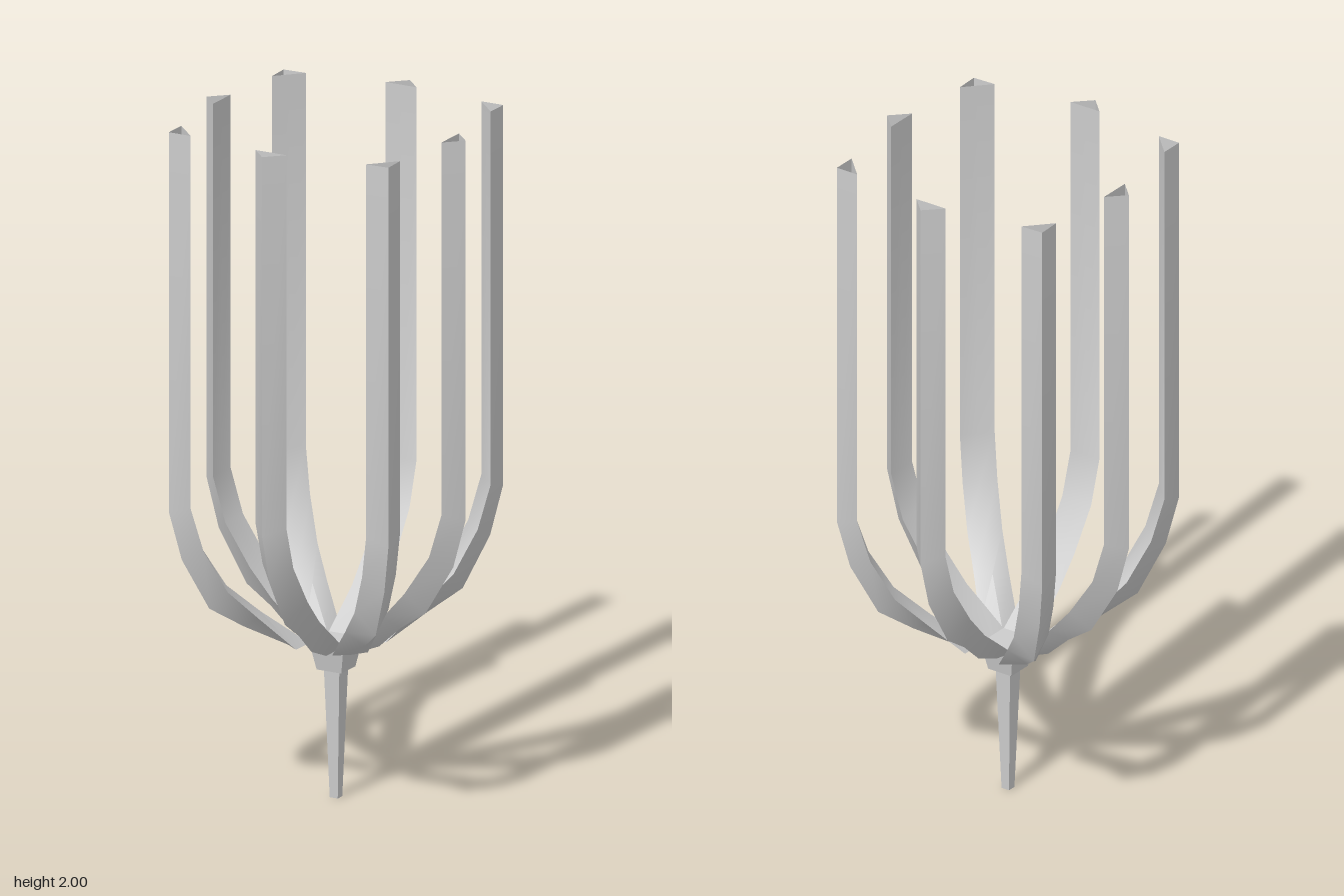
import * as THREE from 'three';
import { toCreasedNormals } from 'three/addons/utils/BufferGeometryUtils.js';

const material = new THREE.MeshStandardMaterial({ color: 0xcccccc, side: THREE.DoubleSide });

// Cross-sections from root to tip: [base r, base y, ridge r, ridge y, inner r, inner y, half width]
const straightArm = [
  [0.055, 0.465, 0.055, 0.43, 0.055, 0.465, 0.054],
  [0.12, 0.52, 0.14, 0.465, 0.12, 0.515, 0.052],
  [0.18, 0.57, 0.21, 0.53, 0.18, 0.57, 0.05],
  [0.25, 0.65, 0.29, 0.585, 0.25, 0.65, 0.05],
  [0.33, 0.77, 0.38, 0.735, 0.33, 0.77, 0.05],
  [0.37, 0.9, 0.42, 0.88, 0.37, 0.9, 0.05],
  [0.37, 2, 0.42, 2, 0.37, 2, 0.05],
];
const diagonalArm = [
  [0.131, 0.46, 0.14, 0.46, 0.078, 0.46, 0.053],
  [0.24, 0.56, 0.27, 0.525, 0.22, 0.565, 0.05],
  [0.33, 0.645, 0.37, 0.585, 0.32, 0.65, 0.05],
  [0.4, 0.77, 0.45, 0.735, 0.395, 0.77, 0.05],
  [0.438, 0.9, 0.488, 0.88, 0.438, 0.9, 0.05],
  [0.438, 2, 0.488, 2, 0.438, 2, 0.05],
];

// Open three-edged tube lofted through the sections, reaching towards +z
function loftArm(sections) {
  const positions = [];
  const index = [];
  sections.forEach(([br, by, rr, ry, ir, iy, w], i) => {
    positions.push(-w, by, br, 0, ry, rr, w, by, br, 0, iy, ir);
    if (i === 0) return;
    for (let k = 0; k < 4; k++) {
      const a = (i - 1) * 4 + k;
      const b = (i - 1) * 4 + ((k + 1) % 4);
      index.push(a, b, b + 4, a, b + 4, a + 4);
    }
  });
  const geometry = new THREE.BufferGeometry();
  geometry.setAttribute('position', new THREE.Float32BufferAttribute(positions, 3));
  geometry.setIndex(index);
  return toCreasedNormals(geometry, 0.8);
}

// Square tapered block given by half widths and heights
function taperedBlock(name, top, bottom, y0, y1) {
  const geometry = new THREE.CylinderGeometry(top * Math.SQRT2, bottom * Math.SQRT2, y1 - y0, 4);
  geometry.rotateY(Math.PI / 4);
  geometry.translate(0, (y0 + y1) / 2, 0);
  const mesh = new THREE.Mesh(toCreasedNormals(geometry, 0.8), material);
  mesh.name = name;
  return mesh;
}

export function createModel() {
  const model = new THREE.Group();
  model.name = 'eightArmedStand';

  // Stem and hub
  model.add(taperedBlock('stem', 0.025, 0.013, 0, 0.38));
  model.add(taperedBlock('hub', 0.056, 0.04, 0.38, 0.465));

  // Eight arms, alternating straight and diagonal
  const shapes = [loftArm(straightArm), loftArm(diagonalArm)];
  for (let i = 0; i < 8; i++) {
    const arm = new THREE.Mesh(shapes[i % 2], material);
    arm.name = i % 2 ? 'diagonalArm' : 'straightArm';
    arm.rotation.y = (i * Math.PI) / 4;
    // Two of the diagonal arms sit slightly turned
    if (i === 1 || i === 5) arm.rotation.y += 0.04;
    model.add(arm);
  }
  return model;
}
